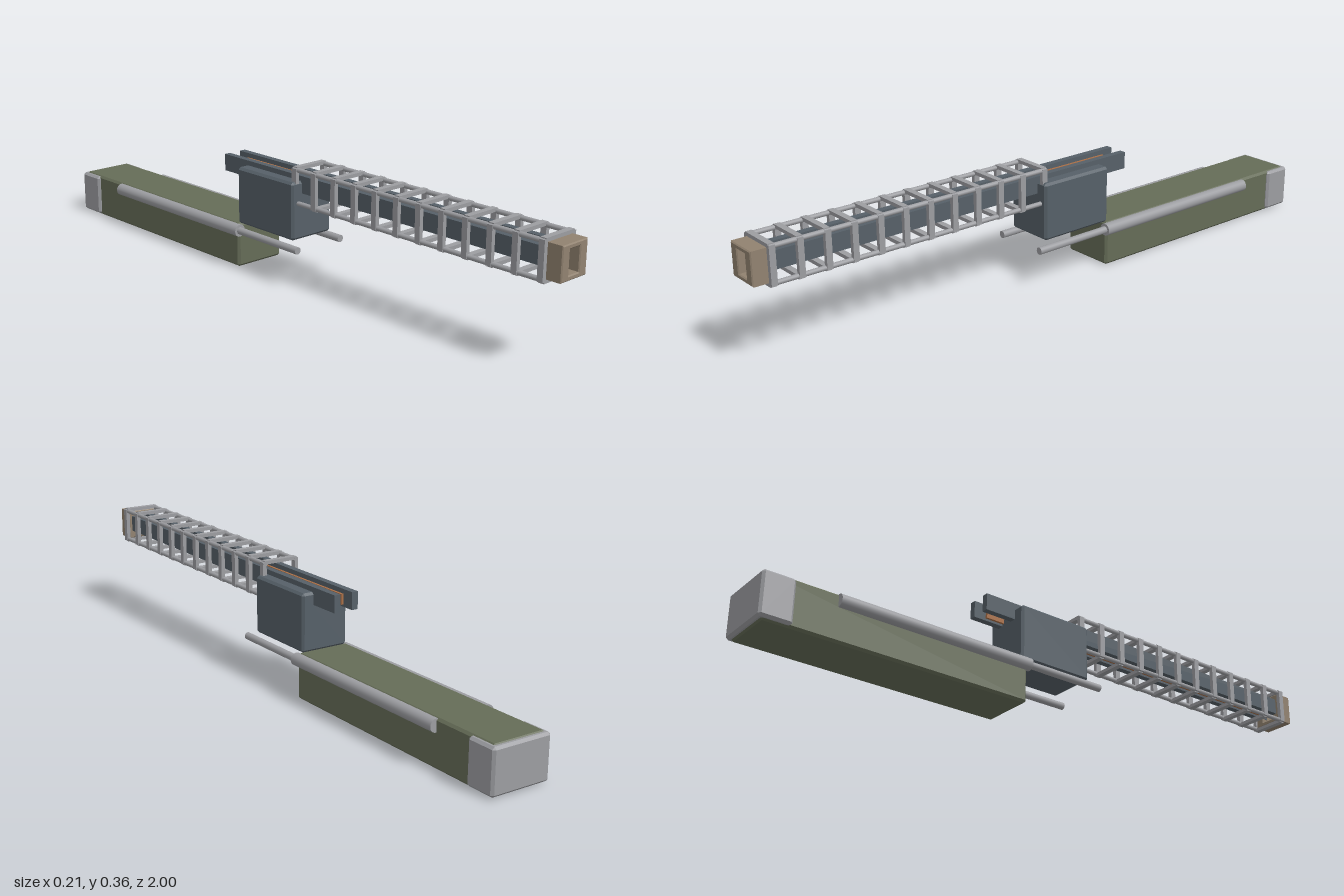
import * as THREE from 'three';
import { ConvexGeometry } from 'three/addons/geometries/ConvexGeometry.js';

const mat = (name, color) => {
  const m = new THREE.MeshStandardMaterial({ color });
  m.name = name;
  return m;
};

export function createModel() {
  const green = mat('olive green', 0x656c57);
  const slate = mat('slate', 0x566068);
  const steel = mat('steel grey', 0x9c9da1);
  const tan = mat('muzzle tan', 0x918270);
  const copper = mat('copper', 0xa96f47);

  const model = new THREE.Group();
  model.name = 'railCannon';

  const add = (parent, name, geometry, material, x = 0, y = 0, z = 0) => {
    const mesh = new THREE.Mesh(geometry, material);
    mesh.name = name;
    mesh.position.set(x, y, z);
    parent.add(mesh);
    return mesh;
  };

  // Box given by its limits
  const box = (parent, name, material, [x0, x1], [y0, y1], [z0, z1]) =>
    add(parent, name, new THREE.BoxGeometry(x1 - x0, y1 - y0, z1 - z0), material,
      (x0 + x1) / 2, (y0 + y1) / 2, (z0 + z1) / 2);

  // Box with chamfered edges, given by its limits
  const chamferBox = (name, material, [x0, x1], [y0, y1], [z0, z1], c) => {
    const w = (x1 - x0) / 2, h = (y1 - y0) / 2, d = (z1 - z0) / 2;
    const points = [];
    for (const sx of [-1, 1]) for (const sy of [-1, 1]) for (const sz of [-1, 1]) {
      points.push(
        new THREE.Vector3(sx * w, sy * (h - c), sz * (d - c)),
        new THREE.Vector3(sx * (w - c), sy * h, sz * (d - c)),
        new THREE.Vector3(sx * (w - c), sy * (h - c), sz * d));
    }
    return add(model, name, new ConvexGeometry(points), material,
      (x0 + x1) / 2, (y0 + y1) / 2, (z0 + z1) / 2);
  };

  // Cylinder lying along z
  const rod = (parent, name, material, r, x, y, z0, z1, sides = 24) =>
    add(parent, name, new THREE.CylinderGeometry(r, r, z1 - z0, sides).rotateX(Math.PI / 2),
      material, x, y, (z0 + z1) / 2);

  // Long body, rear cap and the mount block above the body
  chamferBox('body', green, [-0.085, 0.085], [0, 0.139], [-0.99, -0.165], 0.007);
  chamferBox('rearCap', steel, [-0.094, 0.094], [0.005, 0.136], [-1, -0.905], 0.007);
  chamferBox('mountBlock', slate, [-0.077, 0.077], [0.138, 0.314], [-0.178, 0.07], 0.007);

  for (const s of [-1, 1]) {
    const side = s > 0 ? 'left' : 'right';
    const span = (a, b) => (s > 0 ? [a, b] : [-b, -a]);

    // Recoil cylinder with its thinner piston
    rod(model, side + 'RecoilCylinder', steel, 0.019, s * 0.086, 0.119, -0.78, -0.158);
    rod(model, side + 'Piston', steel, 0.011, s * 0.086, 0.119, -0.17, 0.103);

    // Rail with a copper strip on its inner face
    box(model, side + 'Rail', slate, span(0.02, 0.04), [0.277, 0.329], [-0.28, 0.96]);
    box(model, side + 'Conductor', copper, span(0.0125, 0.0202), [0.284, 0.315], [-0.24, 0.955]);

    // Corner rods of the cage
    for (const y of [0.249, 0.349]) {
      rod(model, side + (y > 0.3 ? 'Upper' : 'Lower') + 'CageRod', steel, 0.007,
        s * 0.054, y, 0.05, 0.952, 12);
    }
  }

  // Square frames along the barrel
  for (let i = 0; i < 12; i++) {
    const frame = new THREE.Group();
    frame.name = 'cageFrame' + (i + 1);
    frame.position.z = 0.06 + i * 0.0805;
    for (const s of [-1, 1]) {
      add(frame, 'frameSide', new THREE.BoxGeometry(0.0125, 0.11, 0.018), steel, s * 0.0563, 0.299, 0);
      add(frame, 'frameBar', new THREE.BoxGeometry(0.113, 0.0105, 0.018), steel, 0, 0.299 + s * 0.0538, 0);
    }
    model.add(frame);
  }

  // Muzzle block with a square bore
  const rect = (Type, w, y0, y1) => new Type([
    new THREE.Vector2(-w, y0), new THREE.Vector2(w, y0),
    new THREE.Vector2(w, y1), new THREE.Vector2(-w, y1)]);
  const shape = rect(THREE.Shape, 0.05, 0.251, 0.347);
  shape.holes.push(rect(THREE.Path, 0.0205, 0.265, 0.333));
  const bevel = 0.003;
  add(model, 'muzzle', new THREE.ExtrudeGeometry(shape, {
    depth: 0.06 - 2 * bevel, bevelEnabled: true, bevelSegments: 1,
    bevelThickness: bevel, bevelSize: bevel, bevelOffset: -bevel,
  }), tan, 0, 0, 0.94 + bevel);

  return model;
}
